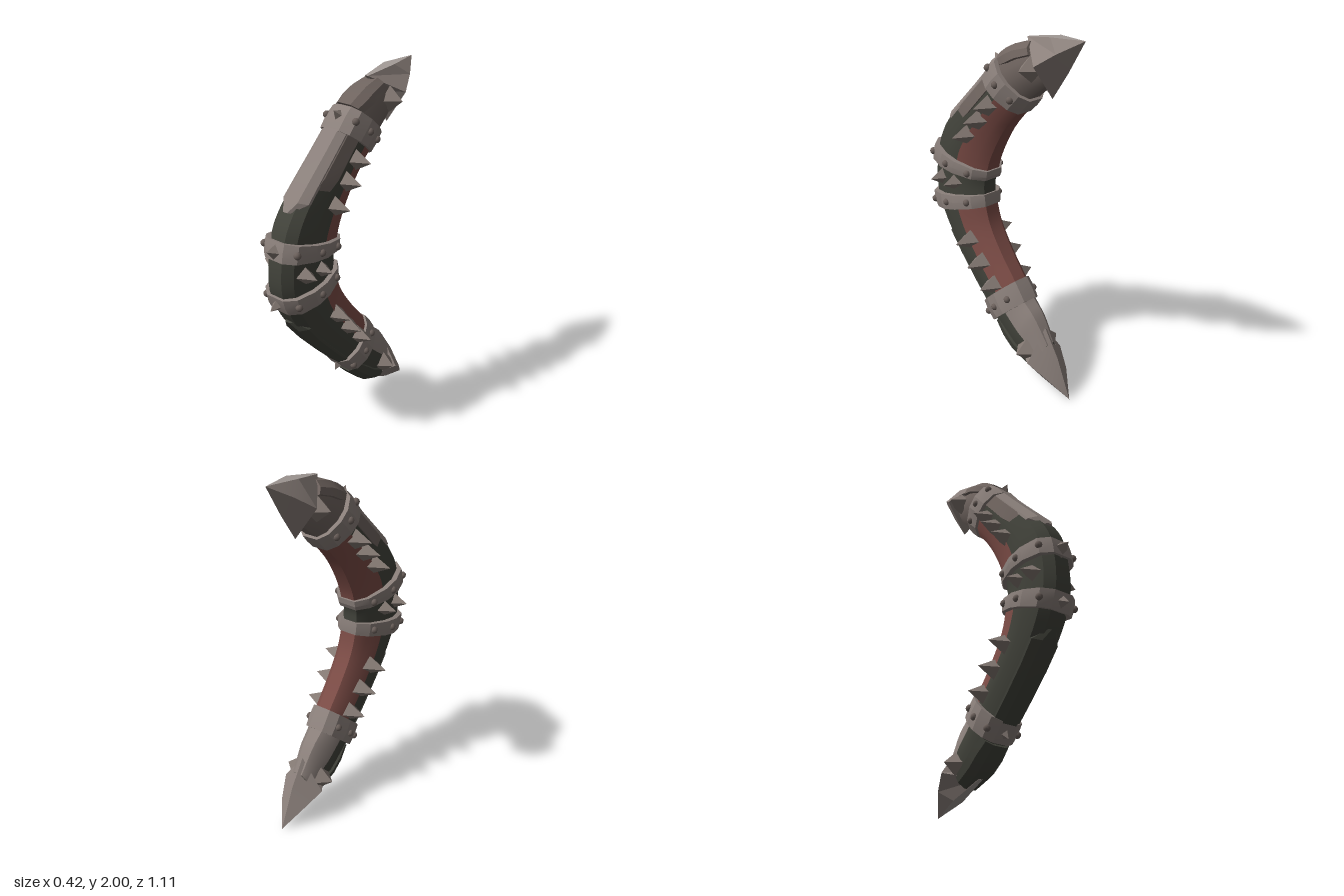
import * as THREE from 'three';
import { toCreasedNormals } from 'three/addons/utils/BufferGeometryUtils.js';

const mat = (name, color, side = THREE.FrontSide) => {
  const m = new THREE.MeshStandardMaterial({ color, side });
  m.name = name;
  return m;
};

// Outer edge and inner edge of the bow as [z, y], from the lower end to the upper end
const OUTER = [[-0.34, 0.1], [-0.15, 0.17], [0, 0.31], [0.055, 0.375], [0.24, 0.56], [0.39, 0.74], [0.46, 0.86],
  [0.5, 0.97], [0.505, 1.08], [0.488, 1.2], [0.455, 1.31], [0.38, 1.42], [0.22, 1.58], [0.055, 1.75],
  [-0.01, 1.82], [-0.14, 1.9], [-0.3, 1.94]];
const INNER = [[-0.38, 0.28], [-0.28, 0.42], [-0.2, 0.49], [-0.14, 0.57], [-0.03, 0.7], [0.07, 0.85], [0.105, 0.96],
  [0.115, 1.04], [0.115, 1.085], [0.1, 1.14], [0.08, 1.22], [0.03, 1.33], [-0.05, 1.46], [-0.16, 1.585],
  [-0.22, 1.65], [-0.29, 1.71], [-0.37, 1.78]];
const WIDTH = [0.06, 0.09, 0.1, 0.1, 0.105, 0.11, 0.115, 0.115, 0.115, 0.115, 0.115, 0.11, 0.105, 0.1, 0.1, 0.09, 0.06];
const N = OUTER.length - 1;
const curve = pts => new THREE.CatmullRomCurve3(pts.map(([z, y]) => new THREE.Vector3(0, y, z)));
const outer = curve(OUTER), inner = curve(INNER);

// Half cross-section: depth from outer (0) to inner (1), sideways share of the width
const HALF = [[0, 0.4], [0.11, 0.8], [0.35, 1], [0.58, 0.98], [0.86, 0.72], [1, 0.35]];
const mirrored = half => [...half, ...half.slice().reverse().map(([t, x]) => [t, -x])];

// A point on the bow at station u, pushed out by grow
function point(u, t, x, grow = 0) {
  const o = outer.getPoint(u / N), i = inner.getPoint(u / N);
  const k = Math.min(N - 1, Math.floor(u));
  const w = THREE.MathUtils.lerp(WIDTH[k], WIDTH[k + 1], u - k);
  const p = o.clone().lerp(i, 0.5 + (t - 0.5) * (1 + 2 * grow / o.distanceTo(i)));
  p.x = x * (w + grow);
  return p;
}
const ring = (u, section, grow) => section.map(([t, x]) => point(u, t, x, grow));

// Skin between rings of equal count
function loft(rings, { closed = true, caps = false, crease = 0.5 } = {}) {
  const pos = [];
  const tri = (...ps) => ps.forEach(p => pos.push(p.x, p.y, p.z));
  const n = rings[0].length;
  for (let j = 0; j < rings.length - 1; j++) {
    for (let i = 0; i < (closed ? n : n - 1); i++) {
      const k = (i + 1) % n, a = rings[j], b = rings[j + 1];
      tri(a[i], a[k], b[k]);
      tri(a[i], b[k], b[i]);
    }
  }
  if (caps) {
    [rings[0], rings[rings.length - 1]].forEach((r, end) => {
      const c = r.reduce((s, p) => s.add(p), new THREE.Vector3()).divideScalar(n);
      r.forEach((p, i) => end ? tri(c, p, r[(i + 1) % n]) : tri(c, r[(i + 1) % n], p));
    });
  }
  const g = new THREE.BufferGeometry();
  g.setAttribute('position', new THREE.Float32BufferAttribute(pos, 3));
  return toCreasedNormals(g, crease);
}

const range = (a, b, n) => Array.from({ length: n + 1 }, (_, i) => a + (b - a) * i / n);

export function createModel() {
  const group = new THREE.Group();
  const dark = mat('dark hide', 0x42433b);
  const plateMetal = mat('dull plate metal', 0x6f645f);
  const metal = mat('worn metal', 0x8b807b, THREE.DoubleSide);
  const bright = mat('bright metal', 0xa09894);
  const spikeMetal = mat('spike metal', 0x837872);
  const studMetal = mat('stud metal', 0x6a5f5a);
  const red = mat('red lining', 0x7c4c46, THREE.DoubleSide);
  const add = (name, geo, material) => {
    const m = new THREE.Mesh(geo, material);
    m.name = name;
    group.add(m);
    return m;
  };

  // Curved body, with a metal upper end
  const body = (name, a, b, n, material) =>
    add(name, loft(range(a, b, n).map(u => ring(u, mirrored(HALF), 0)), { caps: true }), material);
  body('body', 0, 13.5, 42, dark);
  body('upperEnd', 13.5, N, 8, plateMetal);

  // Inside facing: red on both arms, metal on the lower end
  const lining = mirrored(HALF.slice(3));
  for (const [name, a, b, material] of [['lining', 3, 6.1, red], ['lining', 9.4, 13.1, red],
    ['lowerEndFacing', 0, 2.4, metal]]) {
    add(name, loft(range(a, b, 12).map(u => ring(u, lining, 0.005)), { closed: false }), material);
  }

  // Bands with studs
  for (const [a, b, wide] of [[1.9, 3.1, 1.08], [6, 6.85, 1.14], [8.65, 9.5, 1.14], [12.85, 14.1, 1.08]]) {
    const s = mirrored(HALF).map(([t, x]) => [t, x * wide]);
    const g = 0.014;
    add('band', loft([ring(a, s, -0.01), ring(a, s, g), ring((a + b) / 2, s, g + 0.004), ring(b, s, g),
      ring(b, s, -0.01)], { crease: 0.3 }), metal);
    for (const side of [-1, 1]) {
      for (const [t, x] of [[0.1, 0.8], [0.45, 1], [0.8, 0.8]]) {
        const stud = add('stud', new THREE.SphereGeometry(0.02, 8, 6), studMetal);
        stud.position.copy(point((a + b) / 2, t, side * x * wide, g));
      }
    }
  }

  // Armour plates along the outer edge; each station has a width share
  const plate = (name, stations, section, grow, material) => {
    const rings = stations.map(([u, k]) => {
      const s = mirrored(section).map(([t, x]) => [t * k, x * k]);
      const top = [...s.slice(section.length), ...s.slice(0, section.length)];
      return [...ring(u, top, grow), ...ring(u, top, -0.01).reverse()];
    });
    add(name, loft(rings, { caps: true, crease: 0.3 }), material);
  };
  const strip = [[0, 0.38], [0.1, 0.7], [0.14, 0.72]];
  const wrap = [[0, 0.4], [0.11, 0.8], [0.35, 1]];
  const hood = [[0, 0.4], [0.11, 0.75], [0.25, 0.85]];
  const upperRun = [[10.7, 0.3], [11.1, 1], [11.6, 1], [12.3, 1], [13.1, 1]];
  plate('upperArmWrap', [[11, 0.3], [11.4, 0.9], [11.8, 1], [12.4, 1], [13.1, 1]], wrap, 0.006, plateMetal);
  plate('upperArmPlate', upperRun, strip, 0.014, metal);
  plate('lowerArmPlate', [[2.9, 1], [3.6, 1], [4.3, 1], [4.9, 1], [5.3, 0.3]], strip, 0.014, dark);
  plate('upperHood', [[14.15, 0.85], [14.6, 1], [15, 1], [15.6, 1]], hood, 0.02, plateMetal);
  plate('lowerHood', [[0.4, 1], [1, 1], [1.4, 1], [1.85, 0.85]], hood, 0.02, dark);

  // Pointed heads: outer ridge, side corners and inner keel, with a bright face along the ridge
  const headRing = (o, s, i, ridge, w) => {
    const v = (x, [z, y]) => new THREE.Vector3(x, y, z);
    return [v(ridge, o), v(w, s), v(0, i), v(-w, s), v(-ridge, o)];
  };
  const tip = p => headRing(p, p, p, 0, 0);
  const head = (name, rings) => {
    add(name, loft(rings, { closed: false, caps: true, crease: 0.2 }), metal);
    add(name + 'Ridge', loft(rings.map(r => [r[4], r[0]]), { closed: false }), bright);
  };
  head('upperHead', [
    headRing([-0.18, 1.955], [-0.345, 1.86], [-0.35, 1.68], 0.01, 0.127),
    headRing([-0.36, 1.988], [-0.44, 1.93], [-0.45, 1.83], 0.036, 0.078),
    tip([-0.55, 2])]);
  head('lowerHead', [
    tip([-0.54, 0]),
    headRing([-0.36, 0.062], [-0.435, 0.115], [-0.44, 0.22], 0.03, 0.078),
    headRing([-0.16, 0.14], [-0.335, 0.19], [-0.34, 0.37], 0.01, 0.127)]);

  // Four-sided spikes
  const spike = (from, to, radius) => {
    const dir = to.clone().sub(from);
    const m = add('spike', toCreasedNormals(new THREE.ConeGeometry(radius, dir.length(), 4), 0.2), spikeMetal);
    m.position.copy(from).addScaledVector(dir, 0.5);
    m.quaternion.setFromUnitVectors(new THREE.Vector3(0, 1, 0), dir.normalize());
  };
  // Side spikes: z, y, reach, radius
  const sideSpikes = [[0.01, 1.58, 0.2, 0.07], [0.085, 1.485, 0.205, 0.07], [0.175, 1.38, 0.21, 0.07],
    [0.165, 0.755, 0.21, 0.07], [0.075, 0.645, 0.205, 0.07], [-0.02, 0.54, 0.195, 0.066],
    [0.395, 1.07, 0.19, 0.066], [0.285, 1.07, 0.19, 0.066],
    [-0.28, 1.83, 0.16, 0.07], [-0.275, 0.23, 0.155, 0.07]];
  for (const [z, y, reach, r] of sideSpikes) {
    for (const side of [-1, 1]) {
      spike(new THREE.Vector3(side * 0.075, y, z), new THREE.Vector3(side * reach, y, z), r);
    }
  }
  // Spikes on the outer edge of the bands
  const edgeSpikes = [[0.48, 1.2, 0.555, 1.22, 0.055], [0.46, 0.915, 0.545, 0.885, 0.055],
    [0.01, 1.775, 0.066, 1.825, 0.05], [0.01, 0.36, 0.066, 0.3, 0.05]];
  for (const [z0, y0, z1, y1, r] of edgeSpikes) {
    spike(new THREE.Vector3(0, y0, z0), new THREE.Vector3(0, y1, z1), r);
  }
  return group;
}
